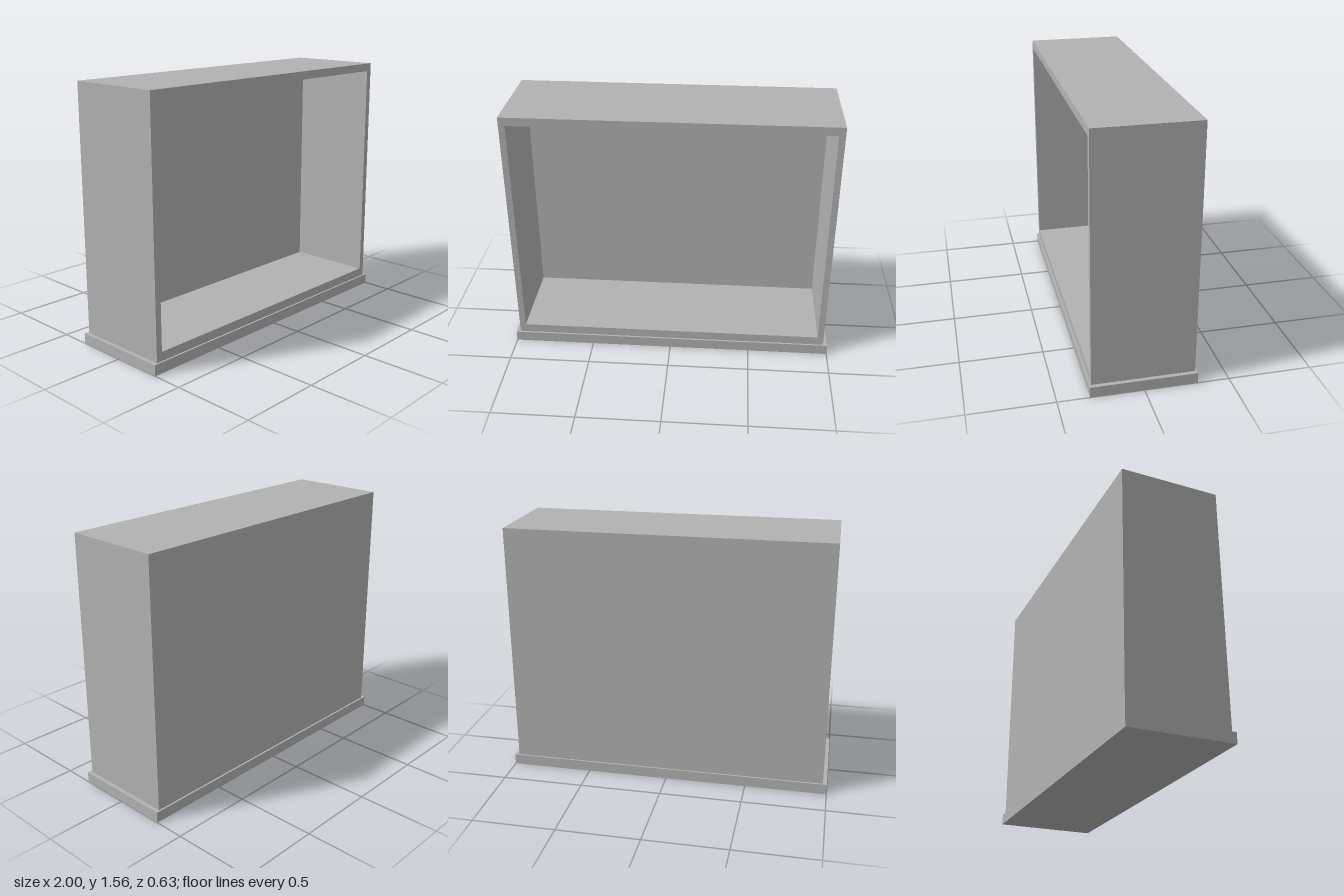
import * as THREE from 'three';

const grey = new THREE.MeshStandardMaterial({ color: 0xb2b2b2 });
grey.name = 'grey';

// Outer body and opening limits
const W = 0.975, BOTTOM = 0.065, TOP = 1.56, FRONT = 0.302;
const IN_W = 0.937, IN_BOTTOM = 0.12, IN_TOP = 1.51, IN_BACK = -0.243;

function rect(path, w, y0, y1) {
  path.moveTo(-w, y0);
  path.lineTo(w, y0);
  path.lineTo(w, y1);
  path.lineTo(-w, y1);
  path.closePath();
  return path;
}

function addMesh(group, name, geometry, x, y, z) {
  const mesh = new THREE.Mesh(geometry, grey);
  mesh.name = name;
  mesh.position.set(x, y, z);
  group.add(mesh);
}

export function createModel() {
  const group = new THREE.Group();
  group.name = 'openCabinet';

  // Base plinth, slightly wider than the body
  addMesh(group, 'plinth', new THREE.BoxGeometry(2, BOTTOM, 0.626), 0, BOTTOM / 2, 0);

  // Frame of top, bottom and side walls around the open front
  const frame = rect(new THREE.Shape(), W, BOTTOM, TOP);
  frame.holes.push(rect(new THREE.Path(), IN_W, IN_BOTTOM, IN_TOP));
  const frameGeometry = new THREE.ExtrudeGeometry(frame, { depth: FRONT - IN_BACK, bevelEnabled: false });
  addMesh(group, 'frame', frameGeometry, 0, 0, IN_BACK);

  // Back panel closing the frame
  const thickness = IN_BACK + FRONT;
  addMesh(group, 'backPanel', new THREE.BoxGeometry(W * 2, TOP - BOTTOM, thickness),
    0, (TOP + BOTTOM) / 2, IN_BACK - thickness / 2);

  return group;
}
